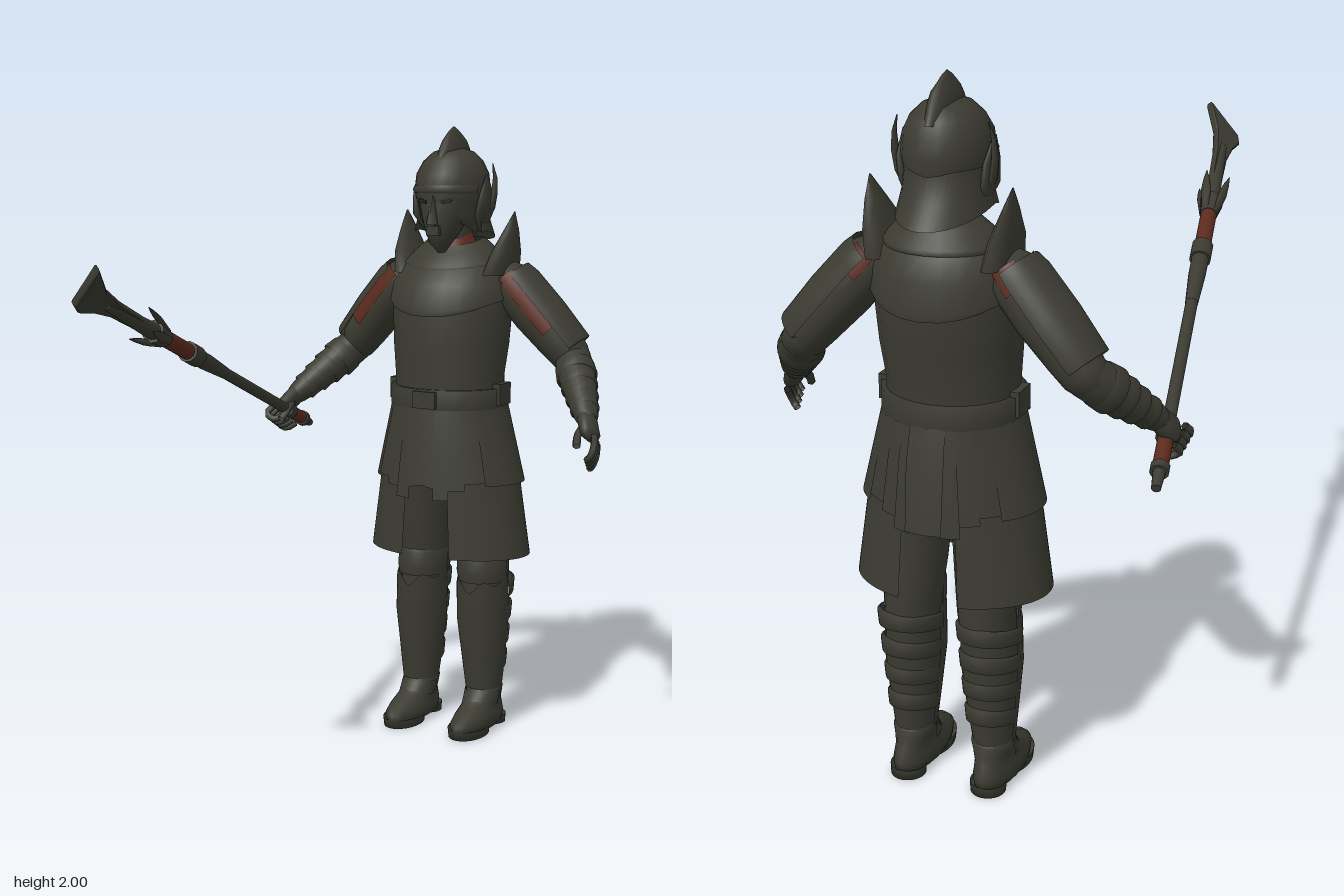
import * as THREE from 'three';

const mat = (name, color) => {
  const m = new THREE.MeshStandardMaterial({ color, side: THREE.DoubleSide });
  m.name = name;
  return m;
};
const V = (x, y, z) => new THREE.Vector3(x, y, z);
const rad = THREE.MathUtils.degToRad;

export function createModel() {
  const armour = mat('dark olive armour', 0x3b3b32);
  const red = mat('dull red cloth', 0x5c2a1e);
  const dark = mat('near black', 0x23231e);

  const add = (parent, name, geo, m = armour) => {
    const mesh = new THREE.Mesh(geo, m);
    mesh.name = name;
    parent.add(mesh);
    return mesh;
  };
  const group = (parent, name) => {
    const g = new THREE.Group();
    g.name = name;
    parent.add(g);
    return g;
  };

  // Skin over elliptical rings [y, rx, rz, zCentre, xCentre], listed upwards; angle 90 is the front.
  // dy(angle, t) shifts the height, t running 0..1 from first to last ring.
  function loft(rings, a0 = 0, a1 = 360, dy = null, n = 24) {
    const pos = [], idx = [], full = a1 - a0 === 360, cols = full ? n : n + 1;
    rings.forEach(([y, rx, rz, zc = 0, xc = 0], i) => {
      for (let j = 0; j < cols; j++) {
        const a = rad(a0 + (a1 - a0) * j / n);
        pos.push(xc + rx * Math.cos(a), y + (dy ? dy(a, i / (rings.length - 1)) : 0), zc + rz * Math.sin(a));
      }
    });
    for (let i = 0; i < rings.length - 1; i++) for (let j = 0; j < n; j++) {
      const p = i * cols + j, q = i * cols + (j + 1) % cols;
      idx.push(p, p + cols, q, q, p + cols, q + cols);
    }
    const g = new THREE.BufferGeometry();
    g.setAttribute('position', new THREE.Float32BufferAttribute(pos, 3));
    g.setIndex(idx);
    g.computeVertexNormals();
    return g;
  }

  // Aim an object's y axis from one point to another, its x axis towards "out".
  function aim(obj, from, to, out) {
    const y = to.clone().sub(from).normalize();
    const x = out.clone().addScaledVector(y, -out.dot(y)).normalize();
    obj.quaternion.setFromRotationMatrix(new THREE.Matrix4().makeBasis(x, y, x.clone().cross(y)));
    obj.position.copy(from);
    return from.distanceTo(to);
  }

  const model = new THREE.Group();
  model.name = 'armouredGuard';
  const body = group(model, 'body');
  body.position.z = -0.66;

  // Torso, breast collar, gorget and neck
  add(body, 'torso', loft([[1.08, .185, .165], [1.2, .183, .165], [1.3, .193, .178, -.008], [1.42, .2, .183, -.015],
    [1.5, .195, .172, -.02], [1.56, .165, .135, -.035], [1.6, .11, .1, -.04], [1.62, .07, .07, -.03]]));
  add(body, 'breastCollar', loft([[1.4, .207, .192, -.015], [1.42, .21, .194, -.015], [1.5, .203, .181, -.02],
    [1.56, .173, .142, -.035], [1.6, .12, .105, -.04]], 0, 360,
    (a, t) => Math.max(0, .5 - t) * .16 * (1 - Math.abs(Math.sin(a)))));
  add(body, 'gorget', loft([[1.545, .165, .148, -.03], [1.56, .168, .15, -.03], [1.6, .125, .112, -.035], [1.625, .095, .09, -.035]],
    0, 360, (a) => .02 - .025 * Math.max(0, Math.sin(a))));
  add(body, 'neckCloth', loft([[1.57, .1, .1, -.025], [1.62, .075, .082, -.025], [1.66, .06, .06, -.02]]), red);
  add(body, 'neck', loft([[1.58, .06, .065, -.02], [1.75, .06, .07, -.01]]));

  // Belt with buckle
  add(body, 'belt', loft([[1.1, .19, .17], [1.1, .198, .177], [1.165, .198, .177], [1.165, .18, .165]]));
  add(body, 'buckle', new THREE.BoxGeometry(.08, .055, .015)).position.set(0, 1.132, .178);

  // Skirt: long side panels under a ring of shorter hanging plates
  const skirt = group(body, 'skirt');
  for (const side of [0, 180]) {
    add(skirt, 'longSidePanel', loft([[.61, .28, .19, -.015], [.86, .243, .178, -.008], [1.12, .188, .165]], side - 72, side + 72));
    add(skirt, 'sidePlate', loft([[.855, .258, .188, -.01], [1.12, .193, .17]], side - 42, side + 42));
    for (const s of [1, -1]) [[40, 58, .86, 0], [56, 70, .84, .006], [68, 80, .81, .014], [78, 90, .84, .008]].forEach(([a, b, y, out]) => {
      const lo = side ? 180 - b : a, hi = side ? 180 - a : b;
      add(skirt, 'hangingPlate', loft([[y, .255, .19 + out, 0], [1.0, .222, .182 + out * .5, 0], [1.12, .193, .171, 0]],
        s > 0 ? lo : -hi, s > 0 ? hi : -lo, (w, t) => (t ? 0 : .05 * (Math.abs(Math.cos(w)) - .3) * (b === 90 ? -1 : .3)), 4));
    });
  }
  add(skirt, 'backTails', loft([[.82, .2, .222], [1.0, .205, .2], [1.12, .19, .172]], -105, -75, null, 6));

  // Helmet
  const head = group(body, 'head');
  add(head, 'helmetDome', loft([[1.77, .114, .135, -.005], [1.8, .118, .14, -.005], [1.85, .114, .132, -.005], [1.89, .094, .11, -.008],
    [1.92, .062, .08, -.01], [1.94, .001, .001, -.01]], 0, 360, (a, t) => (t ? 0 : -.015 * Math.abs(Math.sin(a)) ** 12)));
  add(head, 'helmetRim', loft([[1.79, .12, .14, -.005], [1.8, .124, .147, -.005], [1.815, .118, .14, -.005]], 20, 160));
  add(head, 'neckGuard', loft([[1.63, .125, .19, -.005], [1.69, .115, .15, -.005], [1.76, .112, .125, -.005], [1.83, .115, .128, -.005]],
    170, 370, (a, t) => (1 - t) * .04 * (1 - Math.abs(Math.sin(a)))));
  add(head, 'crest', loft([[1.88, .036, .115, -.015], [1.93, .032, .09, -.015], [1.955, .026, .072, -.015], [1.975, .013, .05, -.012],
    [1.99, .008, .025, -.01], [2, .001, .003, -.008]]));
  add(head, 'faceMask', loft([[1.6, .012, .01, .07], [1.63, .034, .04, .075], [1.67, .055, .068, .06], [1.72, .075, .09, .042],
    [1.77, .095, .11, .02], [1.8, .1, .115, .01]]));
  const nose = add(head, 'noseGuard', new THREE.ConeGeometry(.022, .11, 4));
  nose.position.set(0, 1.745, .133);
  nose.rotation.x = -.08;
  add(head, 'mouthGuard', new THREE.BoxGeometry(.045, .03, .02)).position.set(0, 1.672, .125);
  for (const s of [1, -1]) {
    const half = group(head, s > 0 ? 'leftHelmetSide' : 'rightHelmetSide');
    half.scale.x = s;
    add(half, 'cheekGuard', loft([[1.66, .085, .09], [1.7, .1, .115], [1.81, .117, .137, -.005]], -5, 48,
      (a, t) => (1 - t) * .05 * Math.sin(a)));
    add(half, 'earWing', loft([[1.665, .01, .012, -.02, .1], [1.72, .02, .05, -.005, .112], [1.78, .015, .045, -.01, .12], [1.845, .003, .008, 0, .125]]));
    add(half, 'horn', loft([[1.69, .012, .02, -.02, .105], [1.74, .012, .02, -.025, .128], [1.79, .009, .015, -.03, .138],
      [1.84, .006, .01, -.035, .137], [1.885, .001, .002, -.04, .125]], 0, 360, null, 8));
    const eye = add(half, 'eyeSlit', new THREE.BoxGeometry(.035, .011, .008), dark);
    eye.position.set(.042, 1.765, .12);
    eye.rotation.set(0, .4, .2);
  }

  // Arms and legs, modelled once and mirrored
  for (const s of [1, -1]) {
    const half = group(body, s > 0 ? 'leftLimbs' : 'rightLimbs');
    half.scale.x = s;

    // Shoulder spike and belt pouch
    add(half, 'shoulderSpike', loft([[1.53, .042, .115, -.04, .16], [1.6, .034, .095, -.045, .175], [1.67, .017, .05, -.055, .188],
      [1.73, .001, .004, -.06, .197]], 0, 360, null, 10));
    add(half, 'beltPouch', new THREE.BoxGeometry(.025, .07, .08)).position.set(.19, 1.145, 0);

    // Upper arm with red lining and outer plate
    const shoulder = V(.2, 1.5, -.05), elbow = V(.4, 1.27, -.08), wrist = V(.53, 1.11, .1), knuckle = V(.572, 1.05, .155);
    const upper = group(half, 'upperArm'), L = aim(upper, shoulder, elbow, V(1, .8, 0));
    add(upper, 'sleeve', loft([[-.07, .001, .001], [-.05, .05, .055], [0, .075, .085], [.12, .077, .086], [L * .8, .068, .075],
      [L, .062, .066], [L + .04, .045, .045], [L + .06, .001, .001]]));
    add(upper, 'redLining', loft([[-.03, .074, .08], [.05, .084, .091], [.2, .08, .088]], -88, -45, null, 8), red);
    add(upper, 'redBackLining', loft([[-.03, .074, .08], [.04, .084, .091]], 45, 100, null, 8), red);
    add(upper, 'outerPlate', loft([[-.02, .08, .085], [.02, .088, .095], [.15, .09, .098], [L - .02, .084, .092], [L - .02, .06, .07]], -60, 85, null, 16));

    // Forearm with overlapping bracer bands
    const fore = group(half, 'forearm'), F = aim(fore, elbow, wrist, V(1, .8, 0));
    add(fore, 'forearmCore', loft([[-.03, .04, .04], [0, .058, .06], [.08, .06, .063], [F * .7, .048, .05], [F, .036, .04], [F + .02, .03, .03]]));
    for (let i = 0; i < 4; i++) {
      const y = .05 + i * .05, r = .066 - i * .0065;
      add(fore, 'bracerBand', loft([[y, r - .01, r - .01], [y + .002, r - .003, r - .003], [y + .045, r, r], [y + .048, r - .012, r - .012]]));
    }

    // Hand: palm, four curled fingers and a thumb
    const hand = group(half, 'hand');
    const palm = group(hand, 'palm');
    aim(palm, wrist, knuckle, V(1, .5, 0));
    add(palm, 'palmBlock', loft([[-.015, .02, .03], [.02, .028, .042], [.07, .026, .042], [.09, .015, .03], [.095, .001, .001]], 0, 360, null, 14));
    for (let i = 0; i < 4; i++) {
      const o = V(.012 - i * .004, .008 - i * .012, .014 - i * .017);
      const bend = s > 0 ? [V(.575, 1.055, .155), V(.588, 1.025, .19), V(.58, .995, .2), V(.567, .985, .193)]
        : [V(.575, 1.06, .155), V(.588, 1.035, .175), V(.558, 1.018, .172), V(.53, 1.035, .155)];
      add(hand, 'finger', new THREE.TubeGeometry(new THREE.CatmullRomCurve3(bend.map(p => p.add(o))), 8, .011, 6));
    }
    add(hand, 'thumb', new THREE.TubeGeometry(new THREE.CatmullRomCurve3(
      [V(.535, 1.09, .12), V(.53, 1.06, .165), V(.54, 1.03, .195)]), 6, .013, 6));

    // Leg with greave, knee guard and calf straps
    const leg = group(half, 'leg');
    add(leg, 'legCore', loft([[.08, .05, .058, -.045, .12], [.14, .055, .062, -.045, .12], [.25, .068, .076, -.045, .118],
      [.38, .08, .093, -.045, .116], [.47, .077, .09, -.048, .114], [.55, .078, .093, -.055, .11], [.65, .088, .1, -.04, .108],
      [.85, .095, .115, -.02, .1], [1.05, .09, .12, -.01, .09]]));
    add(leg, 'greave', loft([[.14, .061, .07, -.042, .12], [.25, .074, .083, -.042, .118], [.38, .086, .102, -.038, .116],
      [.49, .084, .108, -.038, .114]], -10, 190, (a, t) => (t === 1 ? .03 * Math.abs(Math.cos(a)) + .012 * Math.cos(6 * a) : 0)));
    add(leg, 'kneeGuard', loft([[.51, .082, .1, -.045, .113], [.54, .087, .106, -.045, .112], [.59, .086, .102, -.045, .11],
      [.605, .075, .09, -.045, .11]], 0, 180));
    for (let i = 0; i < 4; i++) {
      const y = .2 + i * .085, r = .069 + i * .007;
      add(leg, 'calfStrap', loft([[y, r - .006, r], [y + .004, r, r + .016], [y + .045, r + .003, r + .02], [y + .05, r - .004, r + .004]]
        .map(v => [...v, -.048, .118]), 175, 365, a => -.02 * Math.sin(a)));
    }

    // Boot with separate heel and sole
    const foot = group(half, 'boot');
    add(foot, 'upperBoot', loft([[.018, .001, .01, .015, .123], [.018, .06, .152, .015, .123], [.045, .063, .155, .015, .123],
      [.065, .058, .14, .005, .123], [.09, .052, .105, -.02, .122], [.115, .056, .075, -.04, .121], [.14, .06, .068, -.045, .12], [.15, .05, .06, -.045, .12]]));
    add(foot, 'ankleGuard', loft([[.085, .058, .1, -.025, .121], [.13, .062, .072, -.042, .12]], 0, 180));
    add(foot, 'heel', loft([[0, .001, .001, -.09, .123], [0, .05, .05, -.09, .123], [.03, .052, .052, -.088, .123]]));
    add(foot, 'sole', loft([[0, .001, .001, .075, .123], [0, .06, .092, .075, .123], [.03, .063, .096, .075, .123]]));
  }

  // Polearm held in the right hand; heights run along the shaft from the grip
  const pole = group(model, 'polearm');
  aim(pole, V(-.535, 1.08, -.45), V(-.288, 1.574, .885), V(1, 0, 0));
  const rod = (name, y0, y1, r0, r1 = r0, m = armour) =>
    add(pole, name, new THREE.CylinderGeometry(r1, r0, y1 - y0, 12), m).position.y = (y0 + y1) / 2;
  rod('pommel', -.29, -.22, .013, .018);
  rod('pommelRing', -.23, -.205, .026);
  rod('redGrip', -.21, -.1, .022, .022, red);
  rod('gripRing', -.1, -.06, .028);
  rod('shaft', -.06, .6, .018);
  rod('sleeveTaper', .48, .62, .019, .026);
  rod('sleeve', .62, .73, .026);
  rod('sleeveRing', .69, .76, .032);
  rod('redBand', .76, .94, .025, .025, red);
  rod('guardCollar', .92, 1.0, .027, .034);
  rod('bladeSocket', 1.0, 1.3, .025, .017);
  for (let i = 0; i < 4; i++) {
    const a = i * Math.PI / 2 + .4;
    const prong = group(pole, 'guardProng');
    aim(prong, V(.025 * Math.cos(a), .93, .025 * Math.sin(a)), V(.052 * Math.cos(a), 1.09, .052 * Math.sin(a)), V(Math.cos(a), 0, Math.sin(a)));
    add(prong, 'prongSpike', loft([[0, .006, .012], [.08, .01, .017], [.13, .006, .01], [.165, .001, .001]], 0, 360, null, 6));
  }
  const outline = new THREE.Shape([[-.017, 1.1], [.017, 1.1], [.02, 1.25], [.032, 1.36], [.075, 1.472], [.01, 1.435], [-.045, 1.405],
    [-.055, 1.37], [-.035, 1.32], [-.02, 1.24]].map(p => new THREE.Vector2(...p)));
  const bladeGeo = new THREE.ExtrudeGeometry(outline, { depth: .014, bevelEnabled: true, bevelThickness: .006, bevelSize: .004, bevelSegments: 1 });
  bladeGeo.translate(0, 0, -.007);
  add(pole, 'blade', bladeGeo).rotation.y = Math.PI / 4;

  return model;
}
